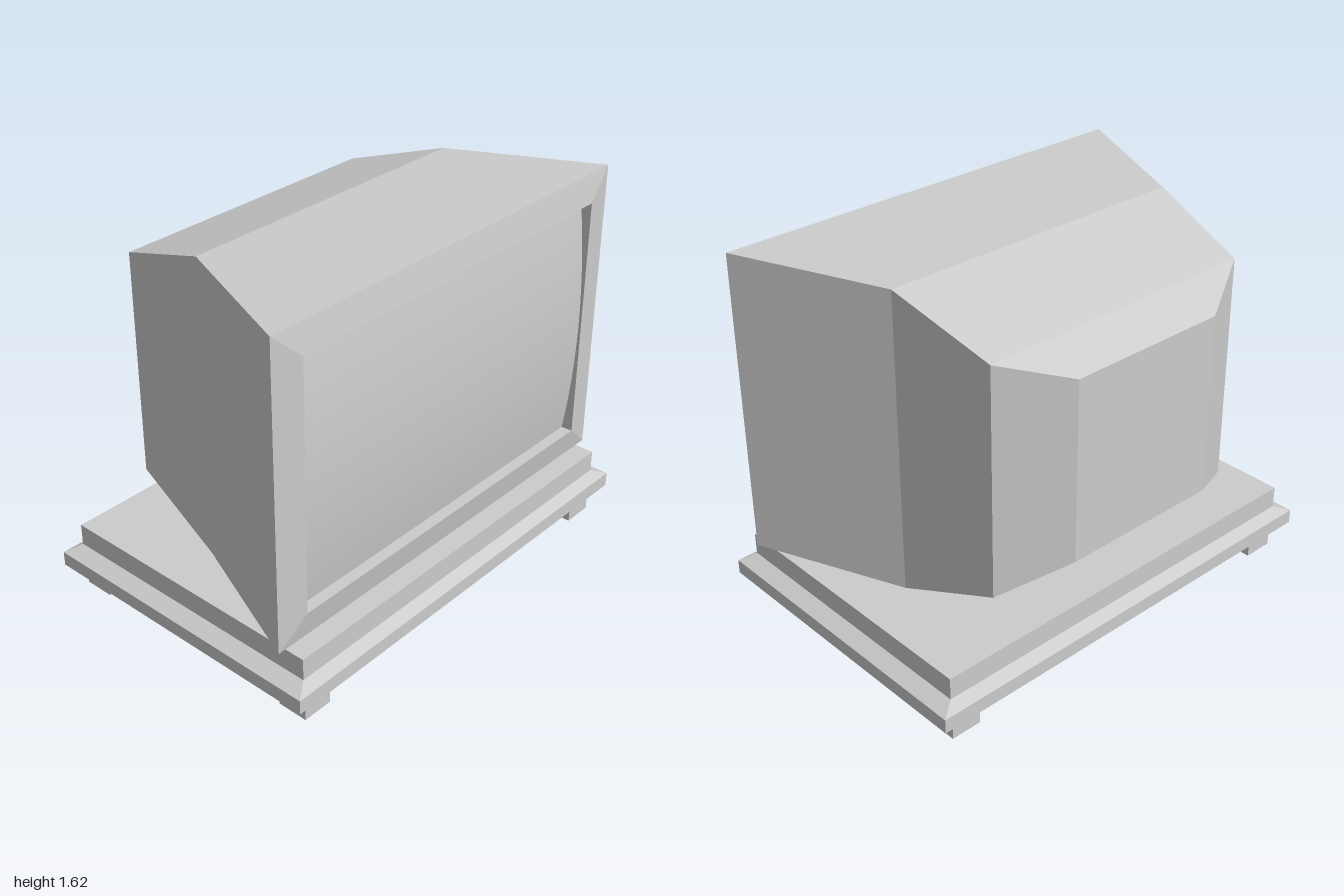
import * as THREE from 'three';

const grey = new THREE.MeshStandardMaterial({ color: 0xcccccc, flatShading: true });
const smooth = new THREE.MeshStandardMaterial({ color: 0xcccccc, side: THREE.DoubleSide });

// Joins four-cornered sections into a faceted shell, with optional end caps.
function loft(sections, capStart, capEnd) {
  const pos = [];
  const quad = (a, b, c, d) => [a, b, c, a, c, d].forEach((p) => pos.push(...p));
  for (let i = 0; i < sections.length - 1; i++) {
    const s = sections[i], t = sections[i + 1];
    for (let j = 0; j < 4; j++) {
      const k = (j + 1) % 4;
      quad(s[j], s[k], t[k], t[j]);
    }
  }
  if (capStart) quad(...[...sections[0]].reverse());
  if (capEnd) quad(...sections[sections.length - 1]);
  const geo = new THREE.BufferGeometry();
  geo.setAttribute('position', new THREE.Float32BufferAttribute(pos, 3));
  geo.computeVertexNormals();
  return geo;
}

// Upright rectangle at depth z, and level rectangle at height y.
const upright = ([x, y0, y1, z]) => [[-x, y0, z], [x, y0, z], [x, y1, z], [-x, y1, z]];
const level = ([x, z0, z1, y]) => [[-x, y, z1], [x, y, z1], [x, y, z0], [-x, y, z0]];

export function createModel() {
  const model = new THREE.Group();
  model.name = 'televisionOnStand';
  const add = (name, geo, mat = grey) => {
    const mesh = new THREE.Mesh(geo, mat);
    mesh.name = name;
    model.add(mesh);
    return mesh;
  };

  // Housing: tapered back, wide front, bevelled bezel and recess walls
  add('housing', loft([
    [0.36, 0.57, 1.355, -0.68],
    [0.64, 0.465, 1.455, -0.53],
    [0.705, 0.295, 1.603, -0.08],
    [0.975, 0.303, 1.617, 0.553],
    [0.843, 0.424, 1.498, 0.575],
    [0.838, 0.424, 1.498, 0.5],
  ].map(upright), true, false));

  // Screen: bowed from top to bottom
  const h = 1.074;
  const screen = new THREE.PlaneGeometry(1.68, h, 1, 24);
  const p = screen.attributes.position;
  for (let i = 0; i < p.count; i++) {
    const t = p.getY(i) / (h / 2);
    p.setZ(i, 0.565 - 0.04 * t * t);
  }
  screen.computeVertexNormals();
  add('screen', screen, smooth).position.y = 0.961;

  // Stand: slab with a chamfered lip and a raised plinth
  add('stand', loft([
    [1, -0.665, 0.68, 0.107],
    [1, -0.665, 0.68, 0.17],
    [0.933, -0.618, 0.635, 0.2],
    [0.933, -0.618, 0.635, 0.295],
  ].map(level), true, true));

  // Feet
  for (const x of [-0.857, 0.857]) {
    for (const z of [-0.547, 0.567]) {
      add('foot', new THREE.BoxGeometry(0.136, 0.108, 0.136)).position.set(x, 0.054, z);
    }
  }
  return model;
}
